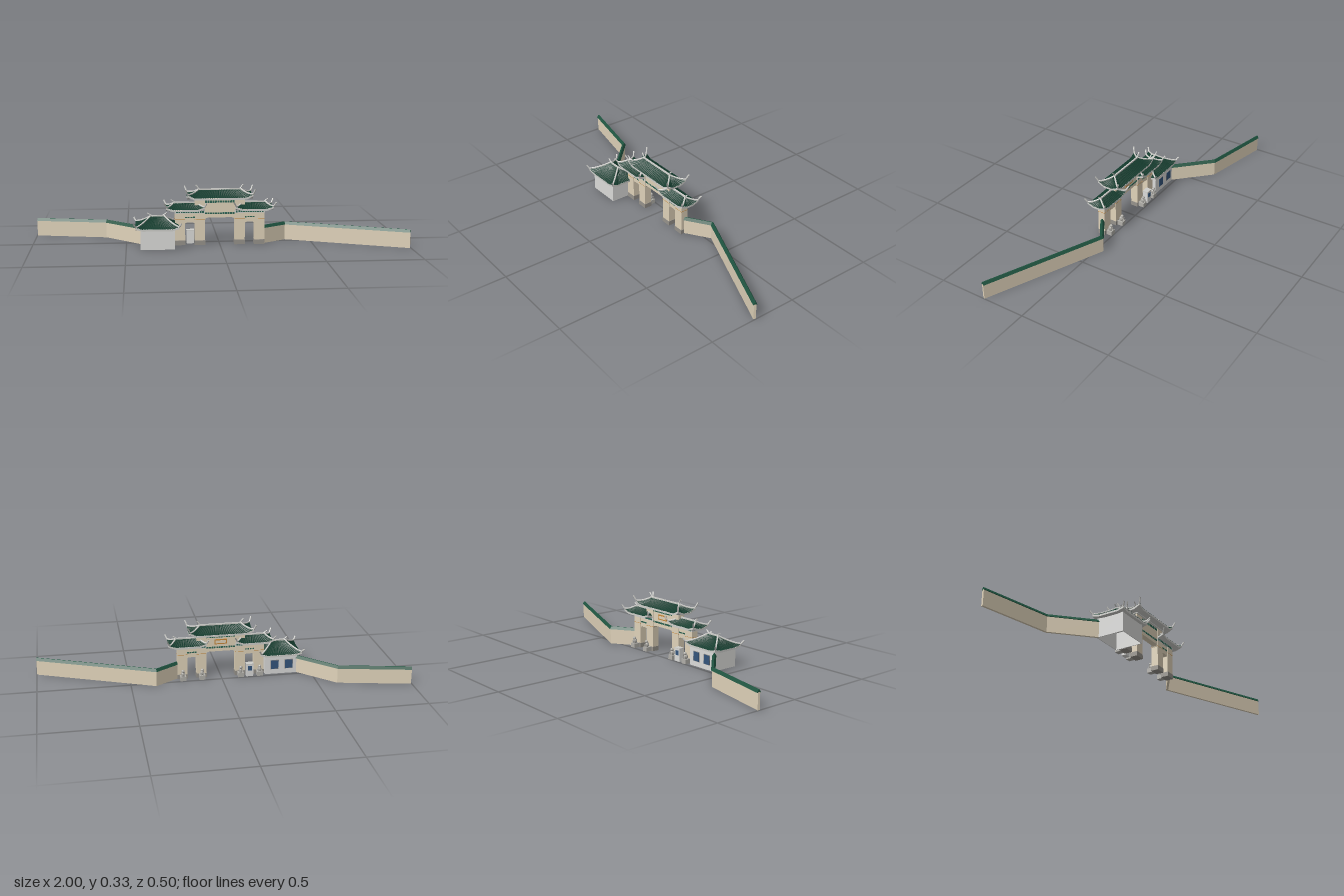
import * as THREE from 'three';

const mat = (name, color) =>
  new THREE.MeshStandardMaterial({ name, color, flatShading: true, side: THREE.DoubleSide });
const M = {
  cream: mat('cream stone', 0xe0d3ba),
  tile: mat('dark green tile', 0x143c2e),
  cap: mat('wall cap green', 0x1f5440),
  trim: mat('grey trim', 0xcfcfcb),
  plaster: mat('pale plaster', 0xdcdcda),
  base: mat('dark grey stone', 0x96928b),
  statue: mat('statue grey stone', 0xb2b0aa),
  paint: mat('painted green', 0x2c6454),
  gold: mat('gold', 0xc8883a),
  glass: mat('blue window', 0x34557c),
};

function add(parent, name, geometry, material, x = 0, y = 0, z = 0) {
  const mesh = new THREE.Mesh(geometry, material);
  mesh.name = name;
  mesh.position.set(x, y, z);
  parent.add(mesh);
  return mesh;
}

// Box given by its limits on each axis
function box(parent, name, material, x0, x1, y0, y1, z0, z1) {
  return add(parent, name, new THREE.BoxGeometry(x1 - x0, y1 - y0, z1 - z0), material,
    (x0 + x1) / 2, (y0 + y1) / 2, (z0 + z1) / 2);
}

// Skin over closed rings of equal point count, with optional end caps
function loft(rings, capped) {
  const n = rings[0].length, index = [];
  for (let r = 0; r < rings.length - 1; r++)
    for (let i = 0; i < n; i++) {
      const a = r * n + i, b = r * n + (i + 1) % n;
      index.push(a, b, b + n, a, b + n, a + n);
    }
  if (capped) {
    const e = (rings.length - 1) * n;
    for (let i = 1; i < n - 1; i++) index.push(0, i + 1, i, e, e + i, e + i + 1);
  }
  const g = new THREE.BufferGeometry();
  g.setAttribute('position', new THREE.Float32BufferAttribute(rings.flat(2), 3));
  g.setIndex(index);
  const flat = g.toNonIndexed();
  flat.computeVertexNormals();
  return flat;
}

function tube(parent, name, pts, radius) {
  const curve = new THREE.CatmullRomCurve3(pts.map(p => new THREE.Vector3(...p)));
  return add(parent, name, new THREE.TubeGeometry(curve, 12, radius, 6), M.trim);
}

// Hipped roof with sagging slopes, corners turned up over a short reach, and straight horns
function hipRoof(name, { x, z, w, d, ridge, eave, top, lift, horn, finial }) {
  const g = new THREE.Group();
  g.name = name;
  g.position.set(x, 0, z);
  const reach = 0.036;
  const height = (t, fromCorner) => eave + (top - eave) * Math.pow(t, 1.2)
    + lift * (1 - t) ** 2 * Math.max(0, 1 - fromCorner / reach);
  const nx = Math.round(w / 0.012) * 2, nz = Math.round(d / 0.012) * 2;
  const ring = (t, drop = 0, rib = 0, flat = false) => {
    const a = THREE.MathUtils.lerp(w / 2, ridge / 2, t), b = d / 2 * (1 - t), out = [];
    for (let s = 0; s < 4; s++) {
      const n = s % 2 ? nz : nx, half = (s % 2 ? d : w) / 2;
      for (let i = 0; i < n; i++) {
        const u = i / n * 2 - 1, k = s < 2 ? 1 : -1;
        const y = (flat ? eave : height(t, (1 - Math.abs(u)) * half)) - drop + (i % 2 ? rib : 0);
        out.push(s % 2 ? [k * a, y, -k * u * b] : [k * u * a, y, k * b]);
      }
    }
    return out;
  };
  add(g, 'roofTiles', loft([0, 0.2, 0.4, 0.6, 0.8, 1].map(t => ring(t, 0, t < 1 ? 0.0015 : 0))), M.tile);
  add(g, 'eaveTrim', loft([ring(0), ring(0, 0.01), ring(0.45, 0.011, 0, true), ring(1, 0.011, 0, true)]), M.trim);
  box(g, 'ridge', M.trim, -ridge / 2, ridge / 2, top - 0.004, top + 0.005, -0.004, 0.004);
  for (const sx of [-1, 1]) {
    const r = sx * ridge / 2;
    tube(g, 'ridgeFinial', [[r - sx * 0.012, top, 0], [r, top + 0.006, 0],
      [r + sx * 0.006, top + finial * 0.6, 0], [r + sx * 0.016, top + finial, 0]], 0.0035);
    for (const sz of [-1, 1]) {
      const pts = [1, 0.75, 0.5, 0.25, 0].map(t =>
        [sx * THREE.MathUtils.lerp(w / 2, ridge / 2, t), height(t, 0) + 0.002, sz * d / 2 * (1 - t)]);
      tube(g, 'hipRidge', pts, 0.0045);
      tube(g, 'cornerHorn', [[sx * (w / 2 - 0.002), eave + lift, sz * (d / 2 - 0.002)],
        [sx * (w / 2 + 0.01), eave + lift + horn, sz * (d / 2 + 0.01)]], 0.0042);
    }
  }
  return g;
}

// Boundary wall following a ground path, with a gabled tile cap
function wall(name, path) {
  const g = new THREE.Group();
  g.name = name;
  const p = path.map(([x, z]) => new THREE.Vector2(x, z));
  const side = p.map((q, i) => {
    const dirs = [];
    if (i > 0) dirs.push(q.clone().sub(p[i - 1]).normalize());
    if (i < p.length - 1) dirs.push(p[i + 1].clone().sub(q).normalize());
    const m = dirs.reduce((s, v) => s.add(v), new THREE.Vector2()).normalize();
    return new THREE.Vector2(-m.y, m.x).divideScalar(m.dot(dirs[0]));
  });
  const sweep = profile => loft(p.map((q, i) =>
    profile.map(([o, y]) => [q.x + side[i].x * o, y, q.y + side[i].y * o])), true);
  add(g, 'wallBody', sweep([[-0.006, 0], [0.006, 0], [0.006, 0.086], [-0.006, 0.086]]), M.cream);
  add(g, 'wallCap', sweep([[-0.011, 0.084], [0.011, 0.084], [0.002, 0.099], [-0.002, 0.099]]), M.cap);
  return g;
}

const Z = 0.058; // gate centre line

// Lintel panel with rounded upper corners of the opening below it
function lintel(parent, x0, x1, y0, y1, r, depth) {
  const s = new THREE.Shape();
  s.moveTo(x0, y1);
  s.lineTo(x0, y0 - r);
  s.quadraticCurveTo(x0, y0, x0 + r, y0);
  s.lineTo(x1 - r, y0);
  s.quadraticCurveTo(x1, y0, x1, y0 - r);
  s.lineTo(x1, y1);
  add(parent, 'lintel', new THREE.ExtrudeGeometry(s, { depth, bevelEnabled: false, curveSegments: 5 }),
    M.cream, 0, 0, Z - depth / 2);
}

// Dashed painted frieze on the front and back faces
function frieze(parent, x0, x1, y, h, half) {
  const n = Math.max(3, Math.round((x1 - x0) / 0.013)), step = (x1 - x0) / n;
  for (const s of [-1, 1])
    for (let i = 0; i < n; i++) {
      const cx = x0 + (i + 0.5) * step;
      add(parent, 'friezePanel', new THREE.BoxGeometry(step * 0.75, h, 0.003), M.paint, cx, y, Z + s * half);
    }
}

// Guardian statue on a pedestal, standing behind a pillar
function guardian(parent, x) {
  const g = new THREE.Group();
  g.name = 'guardianStatue';
  g.position.set(x, 0, 0.02);
  box(g, 'pedestal', M.statue, -0.016, 0.016, 0, 0.024, -0.017, 0.017);
  const body = add(g, 'body', new THREE.SphereGeometry(0.012, 8, 6), M.statue, 0, 0.036, 0);
  body.scale.set(0.9, 1.3, 1);
  add(g, 'head', new THREE.SphereGeometry(0.009, 8, 6), M.statue, 0, 0.053, -0.005);
  for (const s of [-1, 1])
    box(g, 'foreleg', M.statue, s * 0.006 - 0.0025, s * 0.006 + 0.0025, 0.024, 0.04, -0.013, -0.008);
  parent.add(g);
}

function gate() {
  const g = new THREE.Group();
  g.name = 'gate';
  for (const s of [-1, 1]) {
    // Pillars: tall inner, shorter outer
    for (const [c, h] of [[0.107, 0.25], [0.213, 0.19]]) {
      const x = s * c;
      box(g, 'pillar', M.cream, x - 0.027, x + 0.027, 0.02, h, Z - 0.02, Z + 0.02);
      box(g, 'pillarBase', M.base, x - 0.0285, x + 0.0285, 0, 0.025, Z - 0.0215, Z + 0.0215);
      box(g, 'pillarBand', M.gold, x - 0.0275, x + 0.0275, 0.1385, 0.1405, Z - 0.0205, Z + 0.0205);
      guardian(g, x);
    }
    // Side bay
    const a = s < 0 ? -0.188 : 0.132, b = s < 0 ? -0.132 : 0.188;
    lintel(g, a, b, 0.122, 0.19, 0.016, 0.032);
    const x0 = s < 0 ? -0.24 : 0.08, x1 = s < 0 ? -0.08 : 0.24;
    box(g, 'sideCornice', M.trim, x0 - 0.001, x1 + 0.001, 0.172, 0.188, Z - 0.021, Z + 0.021);
    frieze(g, x0 + 0.004, x1 - 0.004, 0.18, 0.009, 0.0215);
    frieze(g, a, b, 0.15, 0.007, 0.0165);
    g.add(hipRoof('sideRoof', { x: s * 0.185, z: Z, w: 0.204, d: 0.108, ridge: 0.12,
      eave: 0.197, top: 0.228, lift: 0.013, horn: 0.024, finial: 0.017 }));
  }
  // Central bay
  lintel(g, -0.081, 0.081, 0.148, 0.25, 0.022, 0.032);
  frieze(g, -0.08, 0.08, 0.171, 0.009, 0.0165);
  frieze(g, -0.08, 0.08, 0.234, 0.012, 0.0165);
  box(g, 'centralCornice', M.trim, -0.14, 0.14, 0.244, 0.25, Z - 0.026, Z + 0.026);
  // Name board on the back, without lettering
  add(g, 'plaqueFrame', new THREE.BoxGeometry(0.07, 0.028, 0.006), M.gold, 0, 0.204, Z - 0.017);
  add(g, 'plaque', new THREE.BoxGeometry(0.058, 0.016, 0.006), M.cream, 0, 0.204, Z - 0.018);
  g.add(hipRoof('centralRoof', { x: 0, z: Z, w: 0.35, d: 0.124, ridge: 0.225,
    eave: 0.26, top: 0.298, lift: 0.018, horn: 0.029, finial: 0.025 }));
  return g;
}

function house() {
  const g = new THREE.Group();
  g.name = 'gatehouse';
  // Four walls, open below
  for (const x of [-0.425, -0.249]) box(g, 'sideWall', M.plaster, x, x + 0.004, 0, 0.105, 0.02, 0.178);
  for (const z of [0.02, 0.174]) box(g, 'longWall', M.plaster, -0.425, -0.245, 0, 0.105, z, z + 0.004);
  box(g, 'ceiling', M.plaster, -0.423, -0.247, 0.094, 0.098, 0.022, 0.176);
  // Framed windows on the back
  for (const x of [-0.378, -0.298]) {
    add(g, 'windowFrame', new THREE.BoxGeometry(0.046, 0.054, 0.004), M.base, x, 0.055, 0.019);
    add(g, 'windowPane', new THREE.BoxGeometry(0.041, 0.049, 0.004), M.glass, x, 0.055, 0.0175);
  }
  g.add(hipRoof('houseRoof', { x: -0.335, z: 0.102, w: 0.228, d: 0.186, ridge: 0.07,
    eave: 0.112, top: 0.166, lift: 0.01, horn: 0.02, finial: 0.017 }));
  return g;
}

function booth() {
  const g = new THREE.Group();
  g.name = 'ticketBooth';
  box(g, 'boothBody', M.plaster, -0.176, -0.138, 0, 0.07, 0.008, 0.036);
  box(g, 'boothTop', M.trim, -0.178, -0.136, 0.07, 0.074, 0.006, 0.038);
  box(g, 'boothWindow', M.glass, -0.169, -0.145, 0.035, 0.06, 0.006, 0.009);
  return g;
}

export function createModel() {
  const model = new THREE.Group();
  model.name = 'gatewayWithWalls';
  model.add(
    gate(), house(), booth(),
    wall('leftWall', [[-0.997, -0.239], [-0.609, -0.156], [-0.42, 0.03]]),
    wall('rightWall', [[0.235, 0.056], [0.365, -0.03], [0.996, 0.239]]),
  );
  return model;
}
